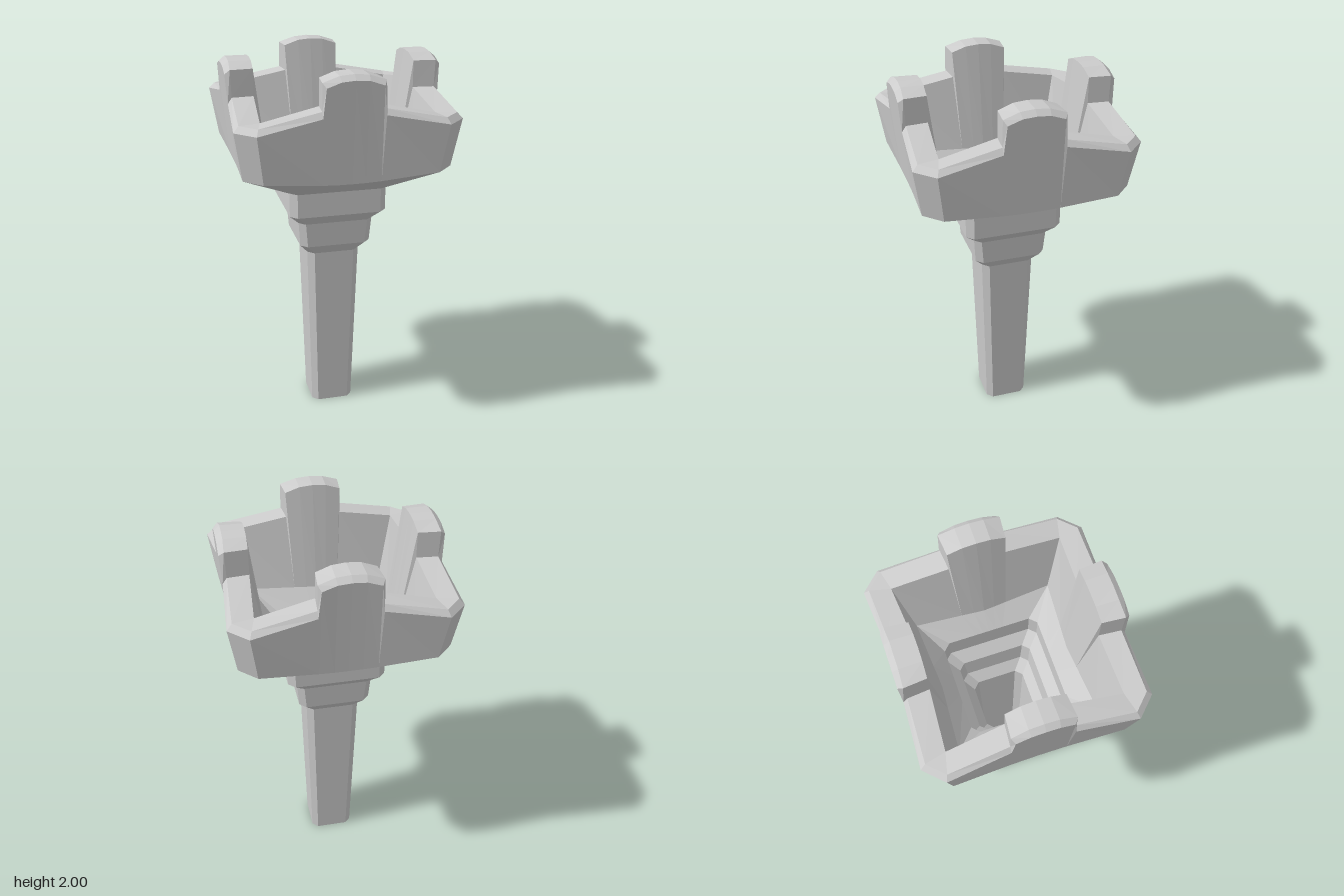
import * as THREE from 'three';

const material = new THREE.MeshStandardMaterial({ color: 0xcccccc, flatShading: true, side: THREE.DoubleSide });

// Turn one side's columns about the y axis to make the full square loop
function fourSides(side) {
  const loop = [];
  for (let k = 0; k < 4; k++) {
    for (const column of side) {
      loop.push(column.map(([x, y, z]) => {
        for (let i = 0; i < k; i++) [x, z] = [-z, x];
        return new THREE.Vector3(x, y, z);
      }));
    }
  }
  return loop;
}

// Skin a closed loop of columns with flat faces
function skin(name, columns) {
  const points = [];
  const triangle = (a, b, c) => {
    if (new THREE.Triangle(a, b, c).getArea() > 1e-7) points.push(a, b, c);
  };
  columns.forEach((col, i) => {
    const next = columns[(i + 1) % columns.length];
    for (let j = 0; j < col.length - 1; j++) {
      triangle(col[j], col[j + 1], next[j + 1]);
      triangle(col[j], next[j + 1], next[j]);
    }
  });
  const geometry = new THREE.BufferGeometry().setFromPoints(points);
  geometry.computeVertexNormals();
  const mesh = new THREE.Mesh(geometry, material);
  mesh.name = name;
  return mesh;
}

// Open chamfered-square tube through rings of [height, half width, chamfer]
function tube(name, rings) {
  const side = [1, -1].map(s => rings.map(([y, h, c]) => [s * (h - c), y, h]));
  return skin(name, fourSides(side));
}

// Cup section: neck, wall foot, outer rim, bevel, inner rim, floor edge, neck
function cupSide() {
  const neck = x => [x, 1.33, 0.258];
  const half = [
    // corner
    [neck(0.222), [0.44, 1.49, 0.527], [0.472, 1.74, 0.567], [0.46, 1.77, 0.54],
      [0.435, 1.77, 0.435], [0.36, 1.44, 0.36], neck(0.222)],
    // rim where it meets the merlon
    [neck(0.075), [0.147, 1.46, 0.508], [0.155, 1.8, 0.546], [0.155, 1.83, 0.525],
      [0.145, 1.83, 0.415], [0.12, 1.432, 0.344], neck(0.075)],
    // merlon edge
    [neck(0.075), [0.147, 1.46, 0.508], [0.14, 1.945, 0.555], [0.155, 1.967, 0.53],
      [0.145, 1.967, 0.415], [0.12, 1.432, 0.344], neck(0.075)],
    // merlon shoulder
    [neck(0.035), [0.07, 1.456, 0.506], [0.068, 1.97, 0.555], [0.072, 1.994, 0.525],
      [0.07, 1.994, 0.412], [0.055, 1.43, 0.339], neck(0.035)],
  ];
  const middle = [neck(0), [0, 1.455, 0.505], [0, 1.975, 0.555], [0, 2, 0.525],
    [0, 2, 0.411], [0, 1.428, 0.336], neck(0)];
  const mirrored = half.map(col => col.map(([x, y, z]) => [-x, y, z])).reverse();
  return [...half, middle, ...mirrored];
}

export function createModel() {
  const group = new THREE.Group();
  group.name = 'castleTopHandle';
  group.add(skin('crenellatedCup', fourSides(cupSide())));
  group.add(tube('upperCollar', [[1.14, 0.2, 0.033], [1.2, 0.257, 0.036], [1.33, 0.258, 0.036]]));
  group.add(tube('lowerCollar', [[0.945, 0.142, 0.034], [1.005, 0.19, 0.035], [1.14, 0.2, 0.033]]));
  group.add(tube('stem', [[0, 0.115, 0.03], [0.945, 0.142, 0.034]]));
  return group;
}
